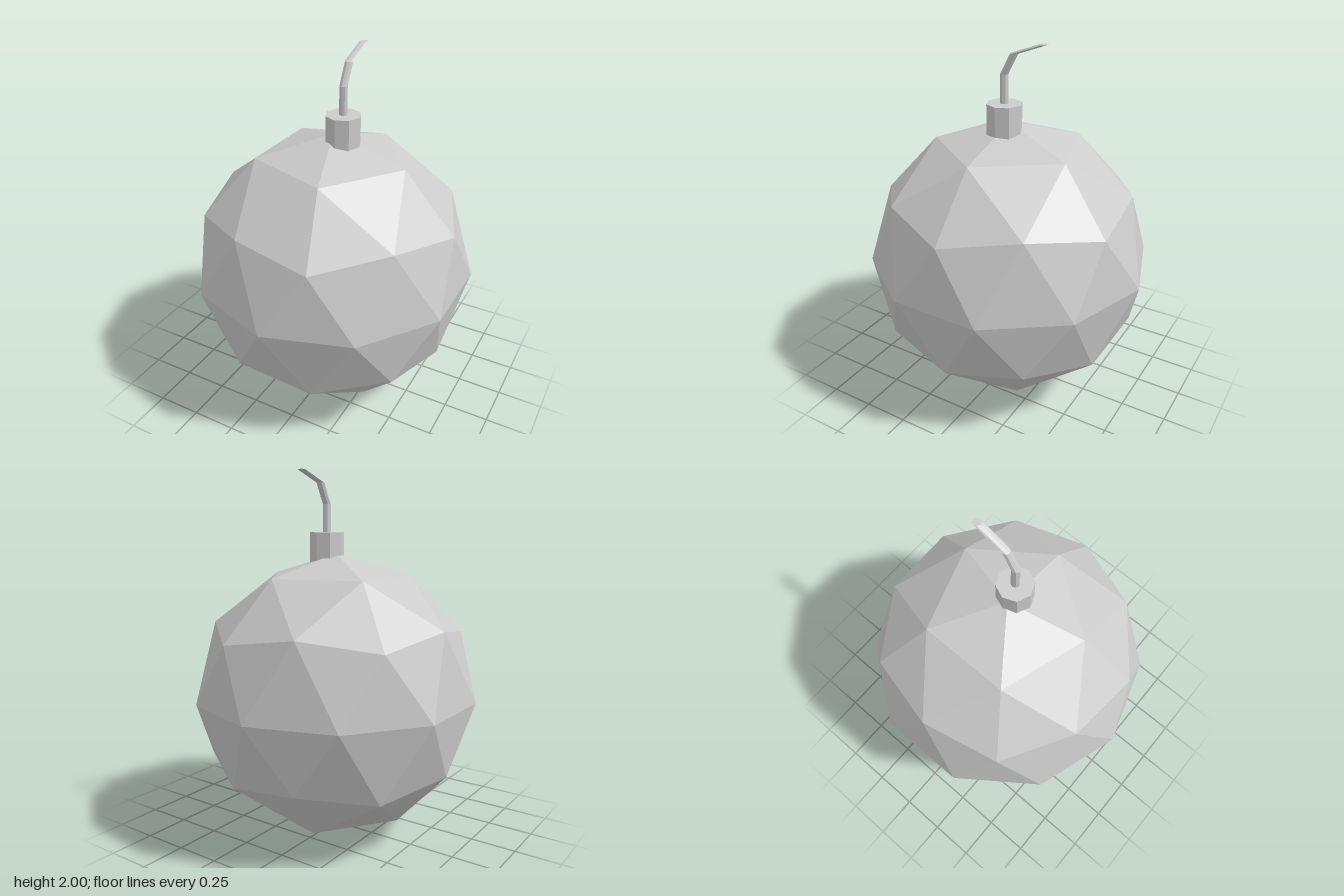
import * as THREE from 'three';

const BODY_RADIUS = 0.783;
const STEM_X = 0.058;

function addPart(group, name, geometry) {
  const material = new THREE.MeshStandardMaterial({ color: 0xcccccc, flatShading: true });
  const mesh = new THREE.Mesh(geometry, material);
  mesh.name = name;
  group.add(mesh);
  return mesh;
}

// Upright tube whose horizontal rings follow a bent path of [y, z] points
function bentTube(radius, sides, path) {
  const geometry = new THREE.CylinderGeometry(radius, radius, 1, sides, path.length - 1);
  const p = geometry.attributes.position;
  for (let i = 0; i < p.count; i++) {
    const ring = Math.round((p.getY(i) + 0.5) * (path.length - 1));
    const [y, z] = path[ring];
    p.setY(i, y);
    p.setZ(i, p.getZ(i) + z);
  }
  geometry.computeVertexNormals();
  return geometry;
}

export function createModel() {
  const model = new THREE.Group();
  model.name = 'fusedBall';

  // Faceted ball, turned so that a five-sided corner points straight up
  const ball = new THREE.IcosahedronGeometry(BODY_RADIUS, 1);
  ball.rotateZ(-Math.atan(2 / (1 + Math.sqrt(5))));
  ball.computeVertexNormals();
  addPart(model, 'body', ball).position.y = BODY_RADIUS;

  // Eight-sided collar, sunk into the ball
  const collar = new THREE.CylinderGeometry(0.095, 0.095, 0.17, 8);
  addPart(model, 'collar', collar).position.set(STEM_X, 1.595, 0);

  // Fuse, bending towards the back
  const fuse = bentTube(0.022, 8, [[1.62, 0], [1.83, 0], [1.94, -0.058], [2, -0.222]]);
  addPart(model, 'fuse', fuse).position.x = STEM_X;

  return model;
}
